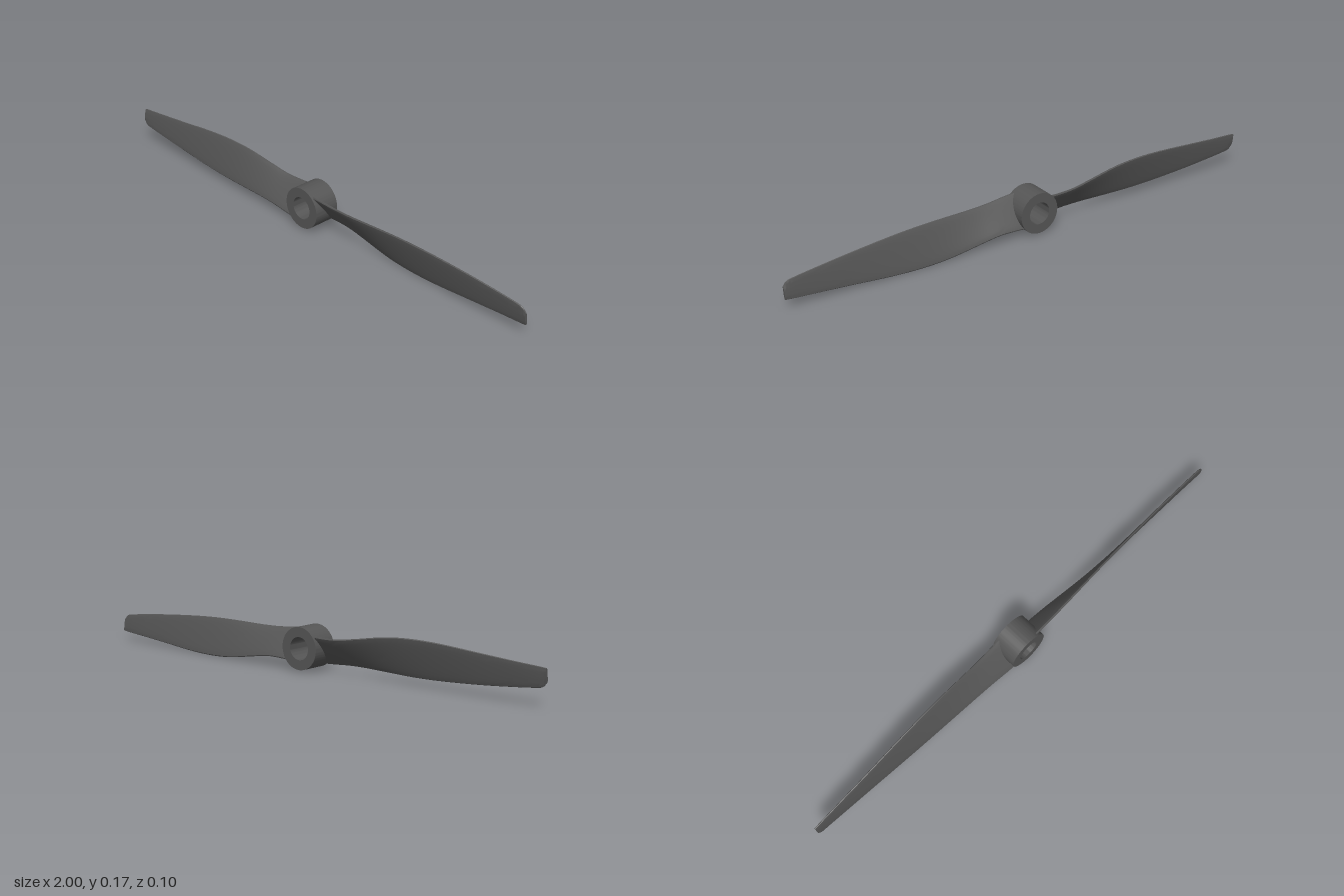
import * as THREE from 'three';
import { toCreasedNormals } from 'three/addons/utils/BufferGeometryUtils.js';

const AXIS_Y = 0.088; // height of the spin axis
const material = new THREE.MeshStandardMaterial({ color: 0x555555 });

// Stations along one blade: x, upper edge y, upper edge z, lower edge y, lower edge z
const STATIONS = [
  [0.05, 0.150, 0.043, 0.036, -0.043],
  [0.10, 0.147, 0.041, 0.039, -0.041],
  [0.17, 0.142, 0.037, 0.038, -0.037],
  [0.25, 0.141, 0.033, 0.026, -0.033],
  [0.37, 0.144, 0.027, 0.007, -0.027],
  [0.48, 0.145, 0.022, 0.001, -0.022],
  [0.60, 0.141, 0.017, 0.005, -0.017],
  [0.75, 0.131, 0.011, 0.018, -0.011],
  [0.88, 0.119, 0.007, 0.029, -0.007],
  [0.96, 0.110, 0.005, 0.035, -0.004],
  [0.985, 0.104, 0.005, 0.037, -0.003],
  [1.00, 0.088, 0.004, 0.039, -0.003],
];

// Twisted blade lofted between its two edge curves with a thin rounded section
function bladeGeometry() {
  const edge = (iy, iz) => new THREE.CatmullRomCurve3(
    STATIONS.map(s => new THREE.Vector3(s[0], s[iy] - AXIS_Y, s[iz])), false, 'catmullrom');
  const upper = edge(1, 2), lower = edge(3, 4);
  const rows = 44, sides = 24, pos = [], index = [];
  for (let i = 0; i <= rows; i++) {
    const u = upper.getPoint(i / rows), l = lower.getPoint(i / rows);
    const mid = u.clone().add(l).multiplyScalar(0.5);
    const half = u.clone().sub(l).setX(0).multiplyScalar(0.5);
    const normal = new THREE.Vector3(0, -half.z, half.y).normalize();
    const thick = THREE.MathUtils.lerp(0.0075, 0.0045, mid.x);
    for (let j = 0; j < sides; j++) {
      const a = j / sides * Math.PI * 2, s = Math.sin(a);
      const p = mid.clone().addScaledVector(half, Math.cos(a))
        .addScaledVector(normal, thick * Math.sign(s) * Math.sqrt(Math.abs(s)));
      pos.push(p.x, p.y, p.z);
    }
  }
  for (let i = 0; i < rows; i++) for (let j = 0; j < sides; j++) {
    const k = (j + 1) % sides, a = i * sides + j, b = i * sides + k;
    index.push(a, b, a + sides, b, b + sides, a + sides);
  }
  // flat closing faces at root and tip
  const tip = rows * sides;
  for (let j = 1; j < sides - 1; j++) {
    index.push(0, j + 1, j, tip, tip + j, tip + j + 1);
  }
  const g = new THREE.BufferGeometry();
  g.setAttribute('position', new THREE.Float32BufferAttribute(pos, 3));
  g.setIndex(index);
  return toCreasedNormals(g, 0.7);
}

// Round hub with a bore through it
function hubGeometry() {
  const ring = new THREE.Shape().absarc(0, 0, 0.08, 0, Math.PI * 2, false);
  ring.holes.push(new THREE.Path().absarc(0, 0, 0.043, 0, Math.PI * 2, true));
  const g = new THREE.ExtrudeGeometry(ring, { depth: 0.104, bevelEnabled: false, curveSegments: 48 });
  g.translate(0, 0, -0.052);
  return toCreasedNormals(g, 0.6);
}

export function createModel() {
  const model = new THREE.Group();
  model.name = 'propeller';

  const hub = new THREE.Mesh(hubGeometry(), material);
  hub.name = 'hub';
  hub.position.y = AXIS_Y;
  model.add(hub);

  // the second blade is the first turned half a revolution
  const blade = bladeGeometry();
  ['leftBlade', 'rightBlade'].forEach((name, i) => {
    const mesh = new THREE.Mesh(blade, material);
    mesh.name = name;
    mesh.position.y = AXIS_Y;
    mesh.rotation.z = i * Math.PI;
    model.add(mesh);
  });
  return model;
}
